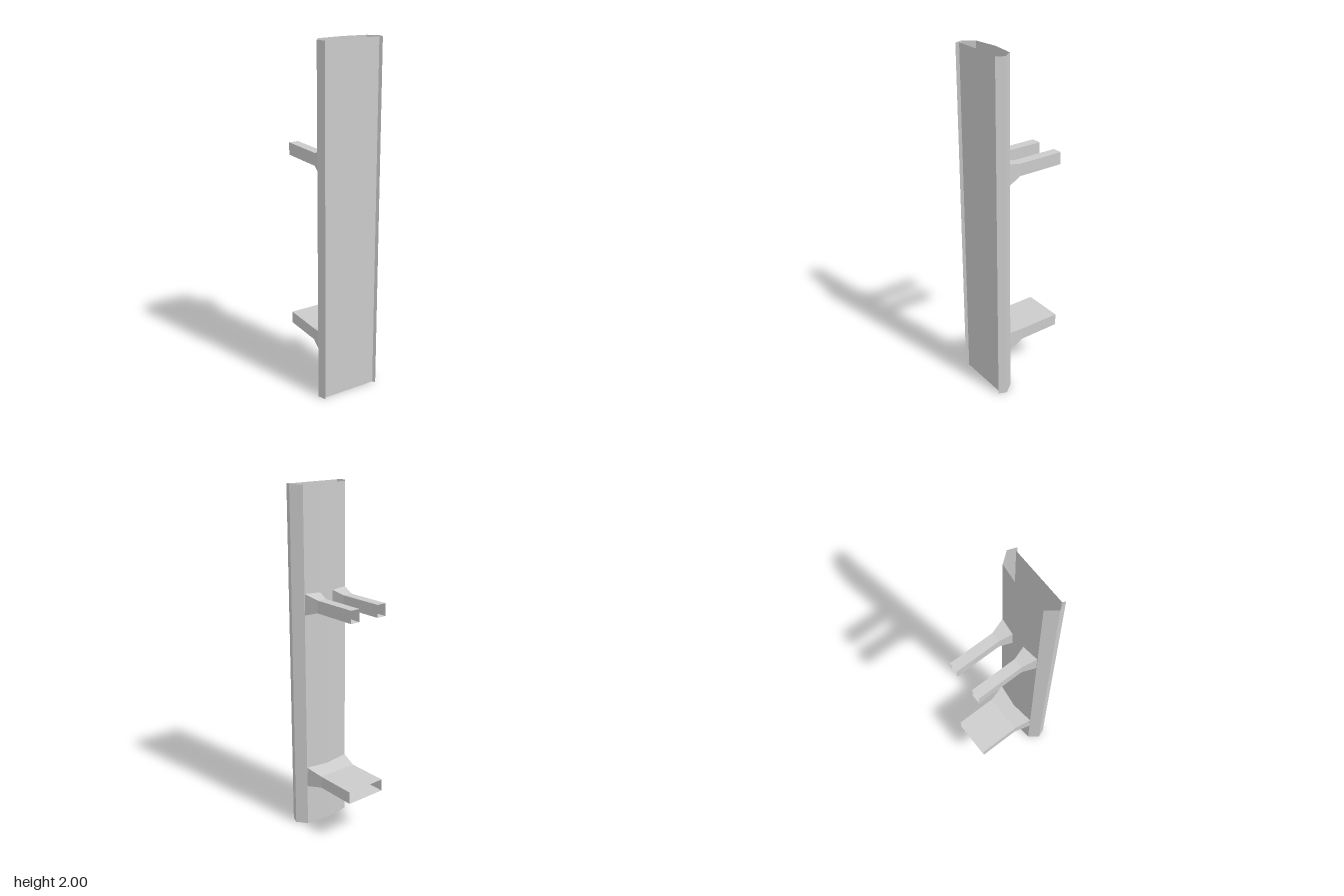
import * as THREE from 'three';

const material = new THREE.MeshStandardMaterial({ color: 0xcccccc, flatShading: true, side: THREE.DoubleSide });

// Open-ended skin joining successive closed loops of [x, y, z] points.
function skin(name, loops) {
  const pos = [];
  for (let i = 0; i < loops.length - 1; i++) {
    const a = loops[i], b = loops[i + 1], n = a.length;
    for (let j = 0; j < n; j++) {
      const k = (j + 1) % n;
      pos.push(...a[j], ...a[k], ...b[k], ...a[j], ...b[k], ...b[j]);
    }
  }
  const geo = new THREE.BufferGeometry();
  geo.setAttribute('position', new THREE.Float32BufferAttribute(pos, 3));
  geo.computeVertexNormals();
  const mesh = new THREE.Mesh(geo, material);
  mesh.name = name;
  return mesh;
}

// Rectangular loop facing +z.
const rect = (x0, x1, y0, y1, z) => [[x0, y0, z], [x1, y0, z], [x1, y1, z], [x0, y1, z]];

export function createModel() {
  const group = new THREE.Group();
  group.name = 'wallColumn';

  // Hollow column: recessed front plate, raised lips, slanted sides, shallow ridged back
  const half = [[0.162, 0.217], [0.172, 0.233], [0.19, 0.185], [0.145, 0.127]];
  const profile = [
    ...half,
    [0, 0.11],
    ...half.map(([x, z]) => [-x, z]).reverse(),
  ].reverse();
  group.add(skin('column', [0, 2].map(y => profile.map(([x, z]) => [x, y, z]))));

  // Pair of narrow upper arms with flared roots
  for (const side of [-1, 1]) {
    const c = side * 0.0925;
    group.add(skin(side > 0 ? 'upperArmLeft' : 'upperArmRight', [
      rect(c - 0.029, c + 0.029, 1.322, 1.393, -0.232),
      rect(c - 0.029, c + 0.029, 1.322, 1.393, 0.043),
      rect(c - 0.051, c + 0.051, 1.297, 1.417, 0.126),
    ]));
  }

  // Single wide lower arm with flared root
  group.add(skin('lowerArm', [
    rect(-0.122, 0.122, 0.274, 0.345, -0.228),
    rect(-0.122, 0.122, 0.274, 0.345, 0.024),
    rect(-0.144, 0.144, 0.25, 0.37, 0.126),
  ]));

  return group;
}
